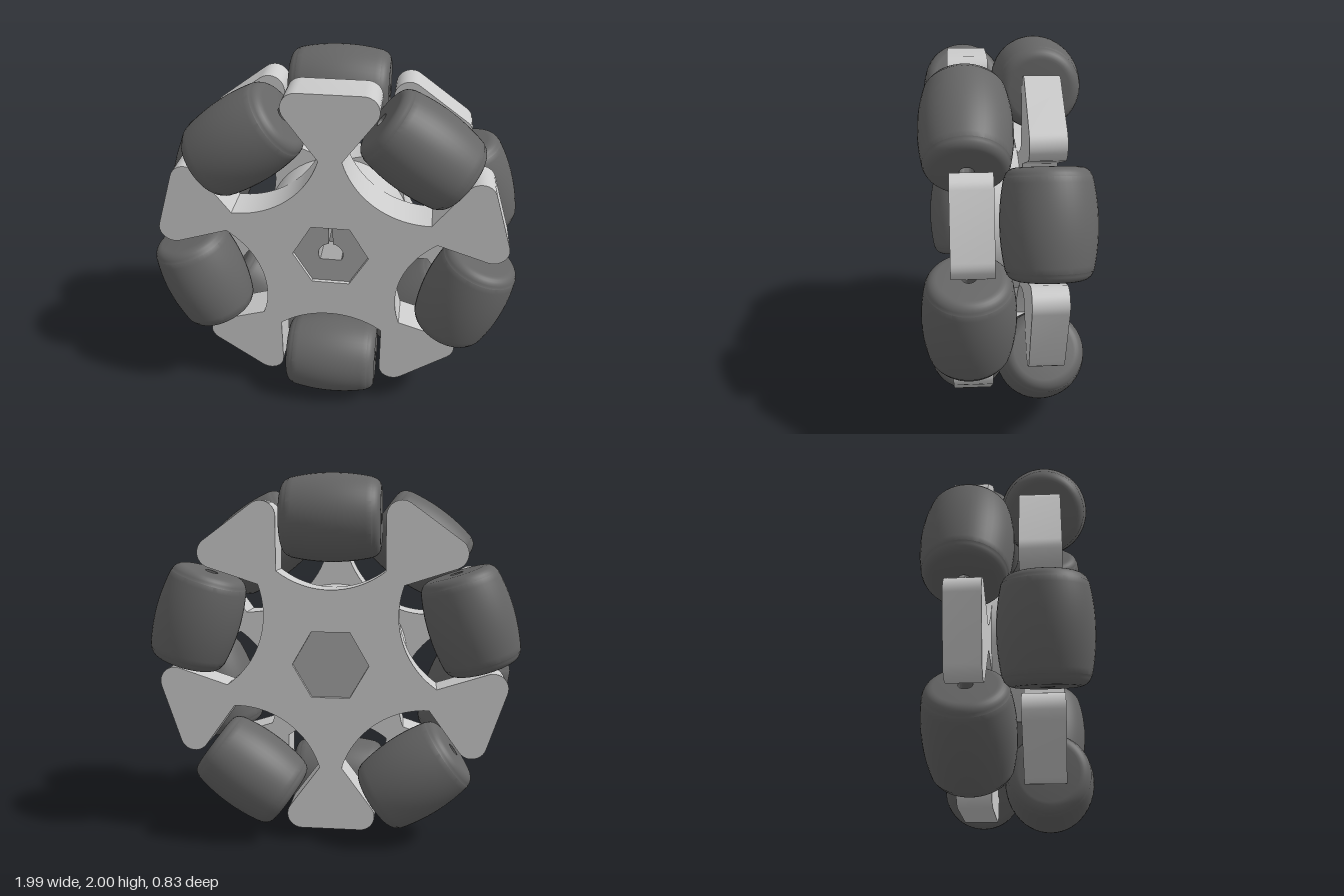
import * as THREE from 'three';
import { toCreasedNormals } from 'three/addons/utils/BufferGeometryUtils.js';

const TAU = Math.PI * 2;
const ARMS = 5;
const greyMat = new THREE.MeshStandardMaterial({ color: 0xcccccc });
const coreMat = new THREE.MeshStandardMaterial({ color: 0xa4a4a4 });
const rubberMat = new THREE.MeshStandardMaterial({ color: 0x666666 });

function addMesh(parent, name, geometry, material) {
  const mesh = new THREE.Mesh(geometry, material);
  mesh.name = name;
  parent.add(mesh);
  return mesh;
}

// Flat shape extruded between two z positions, smooth along its arcs
function slab(shape, z0, z1) {
  const geo = new THREE.ExtrudeGeometry(shape, { depth: z1 - z0, bevelEnabled: false, curveSegments: 24 });
  geo.translate(0, 0, z0);
  return toCreasedNormals(geo, 0.5);
}

function arcPoints(cx, cy, r, a0, a1, n) {
  return Array.from({ length: n + 1 }, (_, i) => {
    const a = a0 + (a1 - a0) * i / n;
    return new THREE.Vector2(cx + r * Math.cos(a), cy + r * Math.sin(a));
  });
}

function hexPoints(r) {
  return arcPoints(0, 0, r, 0, TAU * 5 / 6, 5);
}

// Star plate: fan-shaped arms with rounded tips, roller pockets with a curved floor
function plateShape() {
  const tip = 0.08, side = Math.PI / ARMS;
  const pocketDist = 0.87, pocketR = 0.47;
  const pocketHalf = Math.asin(0.287 / pocketR);
  const origin = new THREE.Vector2();
  const pts = [];
  for (let i = 0; i < ARMS; i++) {
    const turn = i * TAU / ARMS;
    const part = [
      ...arcPoints(0.161, 0.845, tip, -side, Math.PI / 2, 10),
      ...arcPoints(-0.161, 0.845, tip, Math.PI / 2, Math.PI + side, 10),
    ];
    // Pocket lies half a step past the arm; its floor bulges towards the hub
    const dir = Math.PI / 2 + side;
    part.push(...arcPoints(pocketDist * Math.cos(dir), pocketDist * Math.sin(dir), pocketR,
      dir + Math.PI + -pocketHalf, dir + Math.PI + pocketHalf, 20).reverse());
    part.forEach(p => pts.push(p.rotateAround(origin, turn)));
  }
  const shape = new THREE.Shape(pts);
  shape.holes.push(new THREE.Path(hexPoints(0.205).reverse()));
  return shape;
}

// Barrel roller whose crown follows the wheel's outer circle, with a through bore
function rollerGeometry() {
  const bore = 0.035, half = 0.26, fillet = 0.055;
  const upper = [];
  for (let i = 0; i <= 8; i++) {
    const x = 0.215 * i / 8;
    upper.push(new THREE.Vector2(Math.sqrt(1 - x * x) - 0.77, x));
  }
  for (let i = 0; i <= 6; i++) {
    const a = (1 - i / 6) * 1.33;
    upper.push(new THREE.Vector2(0.15 + fillet * Math.sin(a), half - fillet + fillet * Math.cos(a)));
  }
  upper.push(new THREE.Vector2(bore, half));
  const lower = upper.slice(1).reverse().map(p => new THREE.Vector2(p.x, -p.y));
  const profile = [...lower, ...upper, lower[0].clone()];
  return toCreasedNormals(new THREE.LatheGeometry(profile, 48), 0.6);
}

// One wheel half: a plate and five rollers lying along the tangent
function wheelRow(name, z0, z1, rollerZ, roller) {
  const row = new THREE.Group();
  row.name = name;
  addMesh(row, 'starPlate', slab(plateShape(), z0, z1), greyMat);
  for (let i = 0; i < ARMS; i++) {
    const a = -Math.PI / 2 + i * TAU / ARMS;
    const mesh = addMesh(row, 'roller', roller, rubberMat);
    mesh.position.set(0.77 * Math.cos(a), 0.77 * Math.sin(a), rollerZ);
    mesh.rotation.z = a;
  }
  return row;
}

export function createModel() {
  const model = new THREE.Group();
  model.name = 'rollerWheel';
  const wheel = new THREE.Group();
  wheel.name = 'wheel';
  wheel.position.y = 1;
  model.add(wheel);

  // Front and back rows, staggered by half a step
  const roller = rollerGeometry();
  wheel.add(wheelRow('frontRow', 0.07, 0.27, 0.187, roller));
  const back = wheelRow('backRow', -0.27, -0.095, -0.187, roller);
  back.rotation.z = Math.PI;
  wheel.add(back);

  // Hub disc joining the plates
  const hub = addMesh(wheel, 'hub', new THREE.CylinderGeometry(0.4, 0.4, 0.165, 64), greyMat);
  hub.rotation.x = Math.PI / 2;
  hub.position.z = -0.0125;

  // Hexagonal core, slightly sunk, with a D-shaped shaft socket and key slot in front
  const socket = new THREE.Shape(hexPoints(0.205));
  const r = 0.067, slot = 0.011;
  const flat = Math.asin(-0.035 / r), gap = Math.acos(slot / r);
  socket.holes.push(new THREE.Path([
    ...arcPoints(0, 0, r, flat, gap, 12),
    new THREE.Vector2(slot, 0.172),
    new THREE.Vector2(-slot, 0.172),
    ...arcPoints(0, 0, r, Math.PI - gap, Math.PI - flat, 12),
  ]));
  addMesh(wheel, 'socketCore', slab(socket, 0.08, 0.25), coreMat);
  addMesh(wheel, 'backCore', slab(new THREE.Shape(hexPoints(0.205)), -0.25, 0.08), coreMat);
  return model;
}
